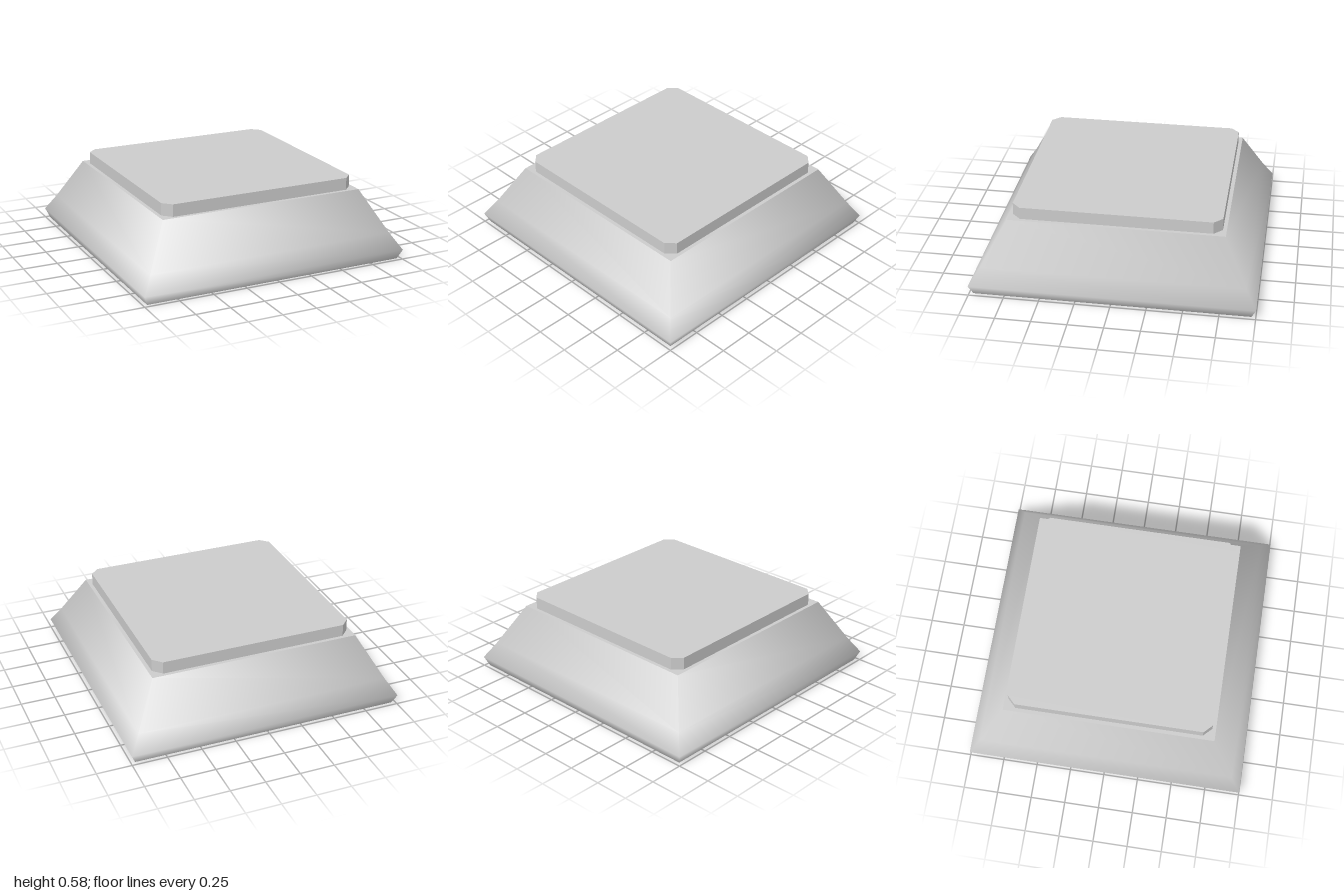
import * as THREE from 'three';
import { mergeVertices } from 'three/addons/utils/BufferGeometryUtils.js';

const material = new THREE.MeshStandardMaterial({ color: 0xcccccc });

function addMesh(parent, name, geometry) {
  const mesh = new THREE.Mesh(geometry, material);
  mesh.name = name;
  parent.add(mesh);
  return mesh;
}

// Square shell section: profile points are [half width, height]
function squareLathe(profile) {
  const points = profile.map(([half, y]) => new THREE.Vector2(half * Math.SQRT2, y));
  return new THREE.LatheGeometry(points, 4, Math.PI / 4);
}

export function createModel() {
  const model = new THREE.Group();
  model.name = 'squareBase';

  // Hollow body: softly shaded walls, flat rim, ceiling and top
  const body = new THREE.Group();
  body.name = 'body';
  model.add(body);
  addMesh(body, 'outerSkirt', squareLathe([[0.97, 0], [1, 0.07], [0.925, 0.19], [0.76, 0.49]]));
  addMesh(body, 'bodyTop', squareLathe([[0.76, 0.49], [0, 0.49]]));
  addMesh(body, 'bottomRim', squareLathe([[0.84, 0], [0.97, 0]]));
  addMesh(body, 'innerWall', squareLathe([[0.67, 0.31], [0.84, 0]]));
  addMesh(body, 'ceiling', squareLathe([[0, 0.31], [0.67, 0.31]]));

  // Top plate with clipped corners
  const h = 0.733, k = 0.673;
  const outline = [[h, k], [k, h], [-k, h], [-h, k], [-h, -k], [-k, -h], [k, -h], [h, -k]];
  const plate = new THREE.ExtrudeGeometry(
    new THREE.Shape(outline.map(([x, y]) => new THREE.Vector2(x, y))),
    { depth: 0.09, bevelEnabled: false });
  plate.rotateX(-Math.PI / 2);
  addMesh(model, 'topPlate', plate).position.y = 0.488;

  // Square boss under the ceiling, softly shaded
  let boss = new THREE.BoxGeometry(0.38, 0.13, 0.38);
  boss.deleteAttribute('normal');
  boss.deleteAttribute('uv');
  boss = mergeVertices(boss);
  boss.computeVertexNormals();
  addMesh(model, 'centreBoss', boss).position.y = 0.245;

  // Four short legs, turned to face the corners, with flared feet
  const legProfile = [[0.1, 0], [0.097, 0.05], [0.072, 0.11], [0.07, 0.22], [0.08, 0.31]];
  const legGeometry = new THREE.LatheGeometry(legProfile.map(([r, y]) => new THREE.Vector2(r, y)), 4);
  const soleGeometry = new THREE.LatheGeometry([new THREE.Vector2(0, 0), new THREE.Vector2(0.1, 0)], 4);
  for (const x of [-1, 1]) for (const z of [-1, 1]) {
    const leg = new THREE.Group();
    leg.name = (z > 0 ? 'front' : 'back') + (x > 0 ? 'Left' : 'Right') + 'Leg';
    leg.position.set(x * 0.63, 0, z * 0.63);
    addMesh(leg, 'post', legGeometry);
    addMesh(leg, 'sole', soleGeometry);
    model.add(leg);
  }
  return model;
}
